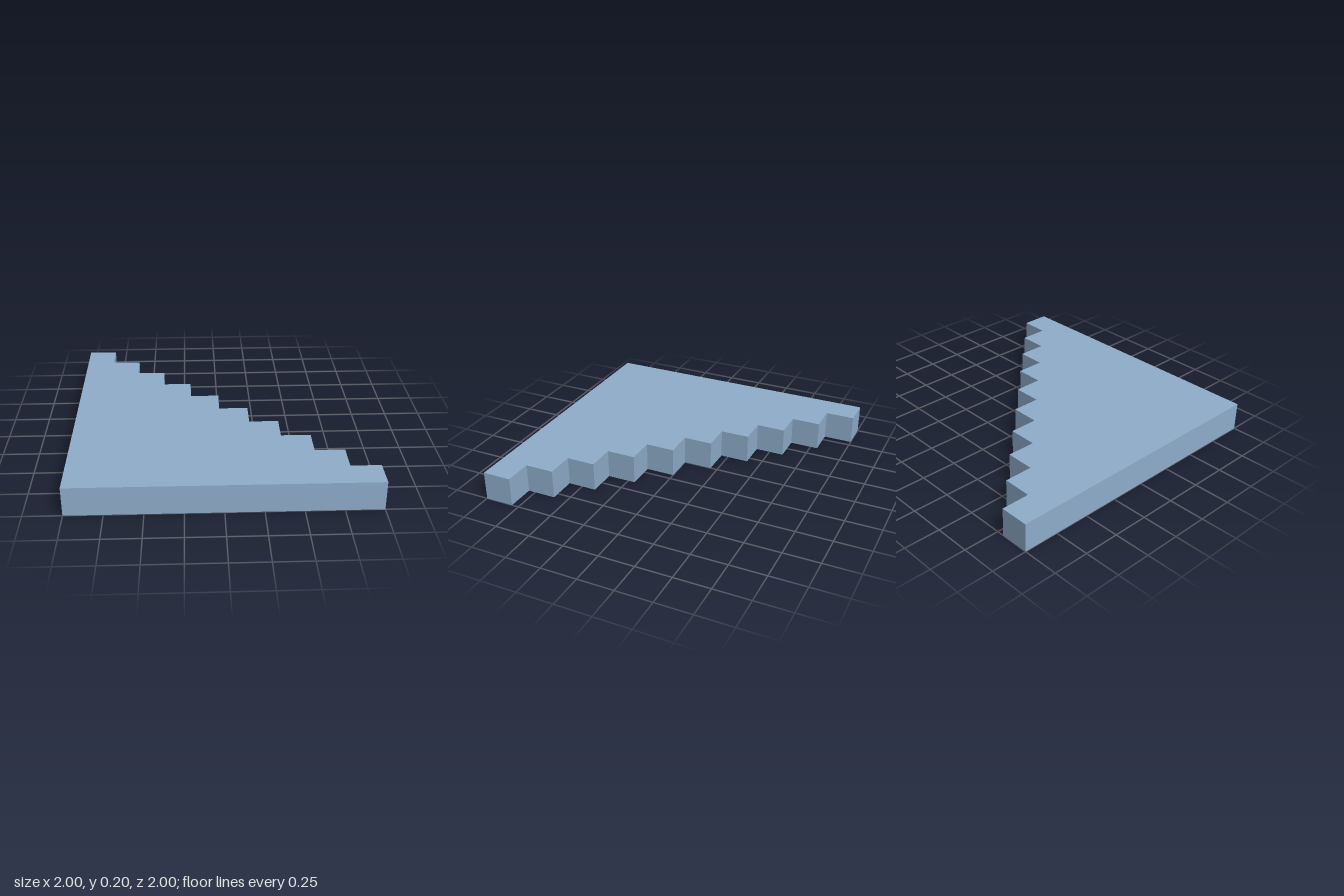
import * as THREE from 'three';

const STEPS = 10;
const STEP = 2 / STEPS;
const THICKNESS = 0.2;

export function createModel() {
  const model = new THREE.Group();
  model.name = 'steppedTriangle';

  const blue = new THREE.MeshStandardMaterial({ color: 0x8faecb });
  blue.name = 'greyBlue';

  // Right-angled outline with a staircase along the long side (shape y becomes -z)
  const outline = new THREE.Shape();
  outline.moveTo(-1, -1);
  outline.lineTo(1, -1);
  for (let i = 0; i < STEPS; i++) {
    const x = 1 - i * STEP;
    const y = -1 + (i + 1) * STEP;
    outline.lineTo(x, y);
    outline.lineTo(x - STEP, y);
  }
  outline.closePath();

  // Flat slab lying on the ground
  const geometry = new THREE.ExtrudeGeometry(outline, { depth: THICKNESS, bevelEnabled: false });
  geometry.rotateX(-Math.PI / 2);
  const slab = new THREE.Mesh(geometry, blue);
  slab.name = 'steppedSlab';
  model.add(slab);

  return model;
}
